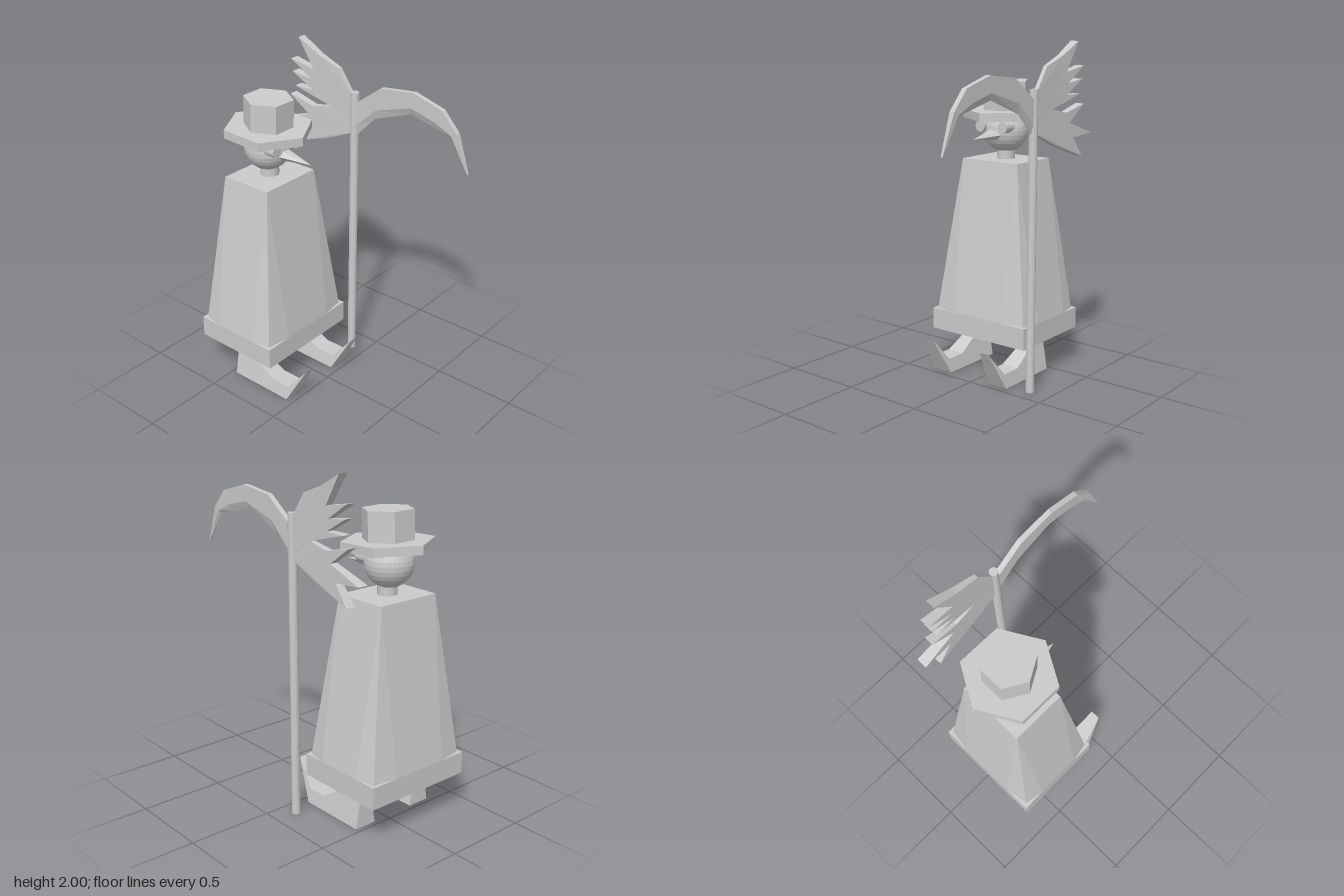
import * as THREE from 'three';

const CX = -0.4, CZ = 0.045; // axis of the figure, which faces +x

export function createModel() {
  const root = new THREE.Group();
  root.name = 'scarecrowWithScythe';
  const mat = new THREE.MeshStandardMaterial({ color: 0xcccccc, flatShading: true });
  const add = (name, geo, x = 0, y = 0, z = 0, parent = root) => {
    const m = new THREE.Mesh(geo, mat);
    m.name = name;
    m.position.set(x, y, z);
    parent.add(m);
    return m;
  };
  const fromPoints = (pts) => {
    const g = new THREE.BufferGeometry().setFromPoints(pts);
    g.computeVertexNormals();
    return g;
  };
  const V = (x, y, z) => new THREE.Vector3(x, y, z);
  const shapeOf = (pts) => new THREE.Shape(pts.map(([x, y]) => new THREE.Vector2(x, y)));
  // Extrude a side outline; halfWidth(x, y) gives the thickness at each point
  const plate = (pts, halfWidth) => {
    const g = new THREE.ExtrudeGeometry(shapeOf(pts), { depth: 1, bevelEnabled: false });
    const p = g.attributes.position;
    for (let i = 0; i < p.count; i++) {
      const w = halfWidth(p.getX(i), p.getY(i));
      p.setZ(i, p.getZ(i) > 0.5 ? w : -w);
    }
    g.computeVertexNormals();
    return g;
  };

  // Coat: hem slab and tapering skirt with a shallow fold at each corner
  add('coatHem', new THREE.BoxGeometry(0.56, 0.13, 0.69), CX, 0.295, CZ);
  const corners = [[1, 1], [1, -1], [-1, -1], [-1, 1]].map(([sx, sz], i) => {
    const onZ = V(sx * 0.14, 0.36, sz * 0.345), onX = V(sx * 0.28, 0.36, sz * 0.175);
    return {
      top: V(sx * 0.163, 1.3, sz * 0.2),
      fold: V(sx * 0.258, 0.36, sz * 0.323),
      pre: i % 2 ? onX : onZ,
      next: i % 2 ? onZ : onX,
    };
  });
  const tris = [];
  corners.forEach((c, i) => {
    const d = corners[(i + 1) % 4];
    tris.push(c.pre, c.fold, c.top, c.fold, c.next, c.top);
    tris.push(c.next, d.pre, d.top, c.next, d.top, c.top);
  });
  const [t0, t1, t2, t3] = corners.map((c) => c.top);
  tris.push(t0, t1, t2, t0, t2, t3);
  add('coat', fromPoints(tris), CX, 0, CZ);

  // Head
  add('neck', new THREE.CylinderGeometry(0.055, 0.055, 0.14, 16), CX, 1.34, CZ);
  add('head', new THREE.SphereGeometry(0.138, 32, 16), -0.405, 1.475, CZ + 0.005);
  for (const s of [1, -1]) {
    const eye = add(s > 0 ? 'rightEye' : 'leftEye',
      new THREE.CylinderGeometry(0.034, 0.034, 0.085, 16), -0.3, 1.5, CZ + 0.005 + s * 0.082);
    eye.rotation.z = Math.PI / 2;
  }
  const beak = new THREE.ConeGeometry(1, 0.22, 6);
  beak.scale(0.037, 1, 0.055);
  beak.rotateZ(-Math.PI / 2 - 0.05);
  add('beak', beak, -0.19, 1.447, CZ);

  // Hat, tipped slightly forward
  const hat = new THREE.Group();
  hat.name = 'hat';
  hat.position.set(CX, 1.575, CZ);
  hat.rotation.z = -0.04;
  root.add(hat);
  const brim = add('brim', new THREE.CylinderGeometry(0.26, 0.26, 0.05, 6), 0, 0, 0, hat);
  brim.rotation.y = Math.PI / 6;
  add('crown', new THREE.CylinderGeometry(0.145, 0.145, 0.17, 6), 0, 0.105, 0, hat);

  // Legs and curled boots
  const boot = [[-0.47, 0], [-0.05, 0], [0.075, 0.235], [-0.05, 0.085],
    [-0.18, 0.085], [-0.33, 0.17], [-0.47, 0.17]];
  for (const [side, z] of [['right', 0.26], ['left', -0.16]]) {
    add(side + 'Leg', new THREE.CylinderGeometry(0.027, 0.027, 0.12, 12), -0.412, 0.2, z);
    add(side + 'Boot', plate(boot, (x, y) => 0.07 - 0.17 * y), 0, 0, z);
  }

  // Scythe
  const scythe = new THREE.Group();
  scythe.name = 'scythe';
  scythe.position.z = -0.362;
  root.add(scythe);
  add('pole', new THREE.CylinderGeometry(0.025, 0.025, 1.75, 16), -0.1, 0.875, 0, scythe);

  // Blade: stations of [outer x, y, inner x, y], bevelled to a sharp inner edge
  const stations = [[-0.1, 1.68, -0.1, 1.475], [0.09, 1.82, 0.045, 1.625], [0.31, 1.845, 0.29, 1.715],
    [0.5, 1.79, 0.43, 1.682], [0.6, 1.68, 0.55, 1.655], [0.68, 1.465, 0.675, 1.465]];
  const rings = stations.map(([ox, oy, ix, iy], i) => {
    const t = i === stations.length - 1 ? 0.006 : 0.015;
    const mx = ox + (ix - ox) * 0.7, my = oy + (iy - oy) * 0.7;
    return [V(ox, oy, t), V(mx, my, t), V(ix, iy, 0), V(mx, my, -t), V(ox, oy, -t)];
  });
  const blade = [];
  for (let s = 0; s + 1 < rings.length; s++) {
    for (let k = 0; k < 5; k++) {
      const a = rings[s], b = rings[s + 1], n = (k + 1) % 5;
      blade.push(a[k], a[n], b[n], a[k], b[n], b[k]);
    }
  }
  add('blade', fromPoints(blade), 0, 0, 0, scythe);

  // Feathers: two ragged fans that thicken towards the tips
  const flare = (x) => 0.012 + 0.035 * Math.max(0, -x - 0.2) * 1.4;
  const upper = [[-0.09, 1.52], [-0.09, 1.7], [-0.21, 1.87], [-0.36, 1.925], [-0.5, 2.0], [-0.395, 1.83],
    [-0.56, 1.86], [-0.41, 1.765], [-0.55, 1.785], [-0.4, 1.7], [-0.53, 1.7], [-0.27, 1.63]];
  const lower = [[-0.09, 1.51], [-0.09, 1.66], [-0.25, 1.63], [-0.4, 1.6], [-0.57, 1.64], [-0.43, 1.54],
    [-0.65, 1.465], [-0.47, 1.45], [-0.56, 1.335], [-0.3, 1.42]];
  add('upperFeathers', plate(upper, flare), 0, 0, 0, scythe);
  add('lowerFeathers', plate(lower, (x) => flare(x) * 0.95), 0, 0, 0, scythe);

  return root;
}
